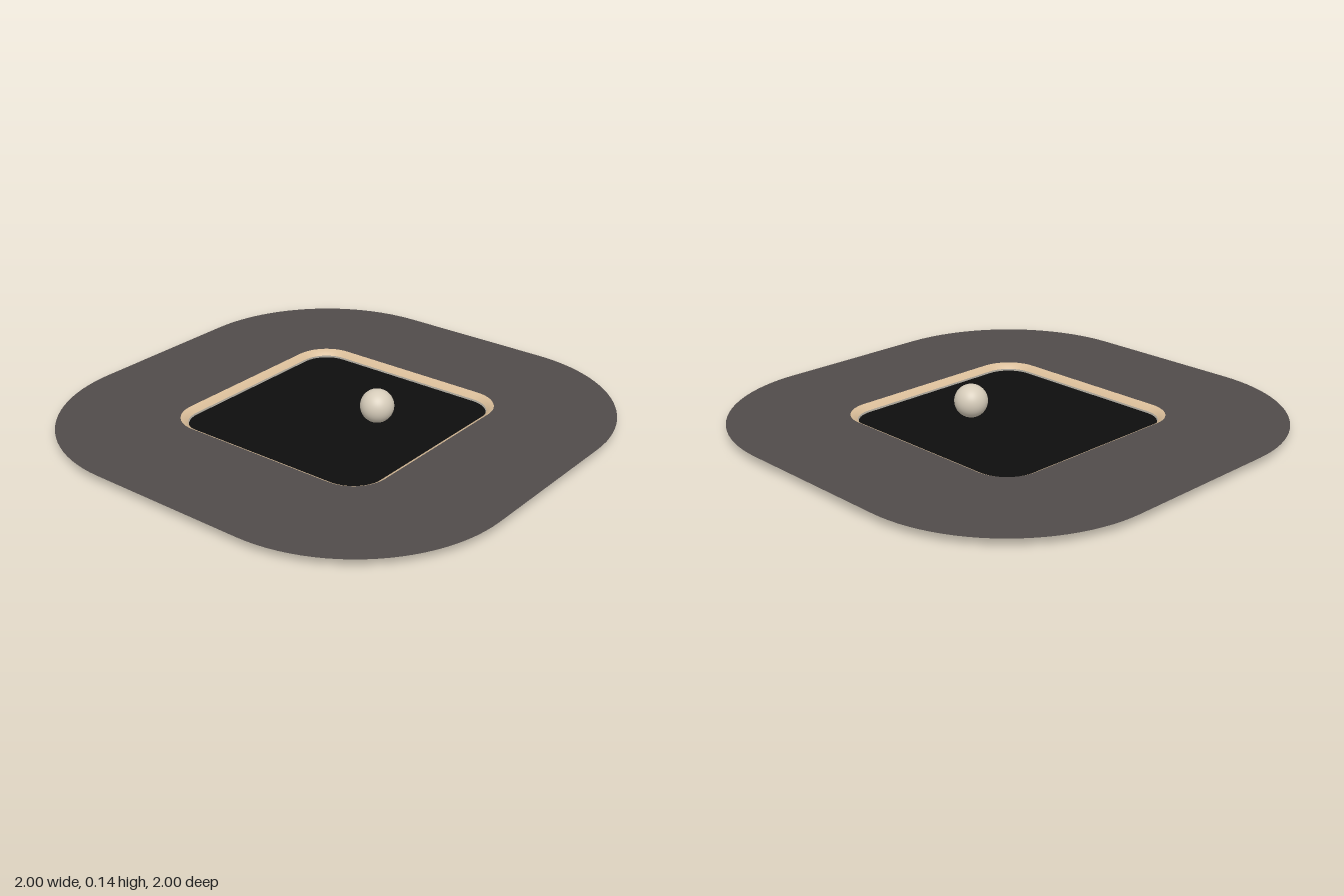
import * as THREE from 'three';

const CORE = 0.35; // half length of the straight edges, shared by every outline
const SEG = 24; // steps per rounded corner

// Concentric rounded-square outline: a square core grown outward by r
function outline(r) {
  const pts = [];
  [[1, 1], [-1, 1], [-1, -1], [1, -1]].forEach(([sx, sy], k) => {
    for (let i = 0; i <= SEG; i++) {
      const a = (k + i / SEG) * Math.PI / 2;
      pts.push(new THREE.Vector2(sx * CORE + r * Math.cos(a), sy * CORE + r * Math.sin(a)));
    }
  });
  return pts;
}

// Flat horizontal sheet, optionally with a hole
function sheet(r, holeR) {
  const shape = new THREE.Shape(outline(r));
  if (holeR) shape.holes.push(new THREE.Path(outline(holeR)));
  return new THREE.ShapeGeometry(shape).rotateX(-Math.PI / 2);
}

// Skin joining rounded-square loops given as [r, y], outermost first
function loft(profile) {
  const pos = [], idx = [];
  const n = outline(1).length;
  profile.forEach(([r, y]) => outline(r).forEach(p => pos.push(p.x, y, -p.y)));
  for (let j = 0; j < profile.length - 1; j++) {
    for (let i = 0; i < n; i++) {
      const a = j * n + i, b = j * n + (i + 1) % n;
      idx.push(a, b, a + n, b, b + n, a + n);
    }
  }
  const g = new THREE.BufferGeometry();
  g.setAttribute('position', new THREE.Float32BufferAttribute(pos, 3));
  g.setIndex(idx);
  g.computeVertexNormals();
  return g;
}

export function createModel() {
  const mat = (name, color) => {
    const m = new THREE.MeshStandardMaterial({ color, side: THREE.DoubleSide });
    m.name = name;
    return m;
  };
  const group = new THREE.Group();
  const add = (name, geometry, material) => {
    const mesh = new THREE.Mesh(geometry, material);
    mesh.name = name;
    group.add(mesh);
    return mesh;
  };

  // Wide surround with a rounded-square opening
  add('surround', sheet(0.65, 0.15), mat('warm grey', 0x504b4a)).position.y = 0.033;

  // Sloping rim around the opening, slightly rounded over
  add('rim', loft([[0.15, 0.033], [0.139, 0.028], [0.129, 0.021], [0.12, 0.012]]),
    mat('tan', 0xd9bd99));

  // Dark panel just below the rim
  add('panel', sheet(0.117), mat('black', 0x0d0d0d)).position.y = 0.005;

  // Ball resting in the panel
  add('ball', new THREE.SphereGeometry(0.07, 48, 32), mat('ivory', 0xd6ccba))
    .position.set(0.143, 0.07, -0.072);

  return group;
}
